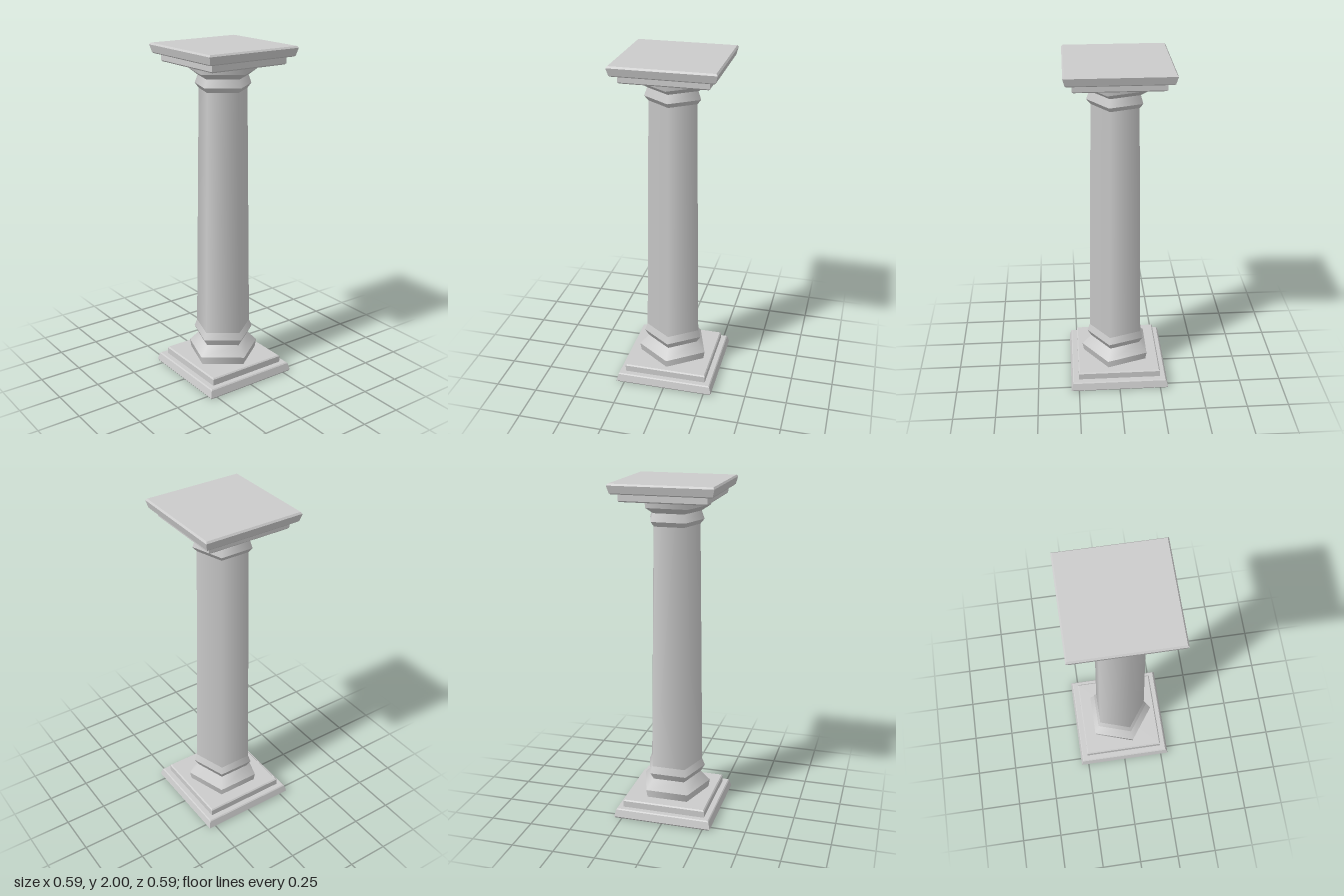
import * as THREE from 'three';

const smooth = new THREE.MeshStandardMaterial({ color: 0xcccccc });
const flat = new THREE.MeshStandardMaterial({ color: 0xcccccc, flatShading: true });

// Stack of rings [radius, y]: each band is smooth around, sharp between bands
function stack(name, rings, sides, start, scale, material, capped) {
  const group = new THREE.Group();
  group.name = name;
  for (let i = 0; i < rings.length - 1; i++) {
    const [r0, y0] = rings[i];
    const [r1, y1] = rings[i + 1];
    const geo = new THREE.CylinderGeometry(r1 * scale, r0 * scale, y1 - y0, sides, 1, true, start);
    const mesh = new THREE.Mesh(geo, material);
    mesh.position.y = (y0 + y1) / 2;
    mesh.name = name + 'Band' + (i + 1);
    group.add(mesh);
  }
  if (capped) {
    [rings[0], rings[rings.length - 1]].forEach(([r, y], i) => {
      const cap = new THREE.Mesh(new THREE.CircleGeometry(r * scale, sides, start), material);
      cap.rotation.x = i ? -Math.PI / 2 : Math.PI / 2;
      cap.position.y = y;
      cap.name = name + (i ? 'Top' : 'Bottom');
      group.add(cap);
    });
  }
  return group;
}

// Square slab; radii are half-widths
const slab = (name, rings) => stack(name, rings, 4, Math.PI / 4, Math.SQRT2, flat, true);
// Five-sided round part with a corner on +x
const round = (name, rings) => stack(name, rings, 5, Math.PI / 2, 1, smooth, false);

export function createModel() {
  const model = new THREE.Group();
  model.name = 'column';

  // Bevelled slabs, repeated upside down at the top
  const wide = [[0.289, 0], [0.297, 0.01], [0.286, 0.052], [0.28, 0.058]];
  const narrow = [[0.25, 0.056], [0.25, 0.096], [0.243, 0.103]];
  const flip = (rings) => rings.map(([r, y]) => [r, 2 - y]).reverse();
  model.add(slab('plinth', wide), slab('plinthStep', narrow));
  model.add(slab('abacus', flip(wide)), slab('abacusStep', flip(narrow)));

  // Base mouldings, tapered shaft and capital mouldings
  model.add(round('baseMoulding', [[0.21, 0.1], [0.219, 0.15], [0.162, 0.21], [0.187, 0.252], [0.17, 0.295]]));
  model.add(round('shaft', [[0.17, 0.295], [0.146, 1.75]]));
  model.add(round('capitalMoulding', [[0.146, 1.75], [0.169, 1.778], [0.152, 1.825], [0.204, 1.858], [0.211, 1.9]]));

  return model;
}
